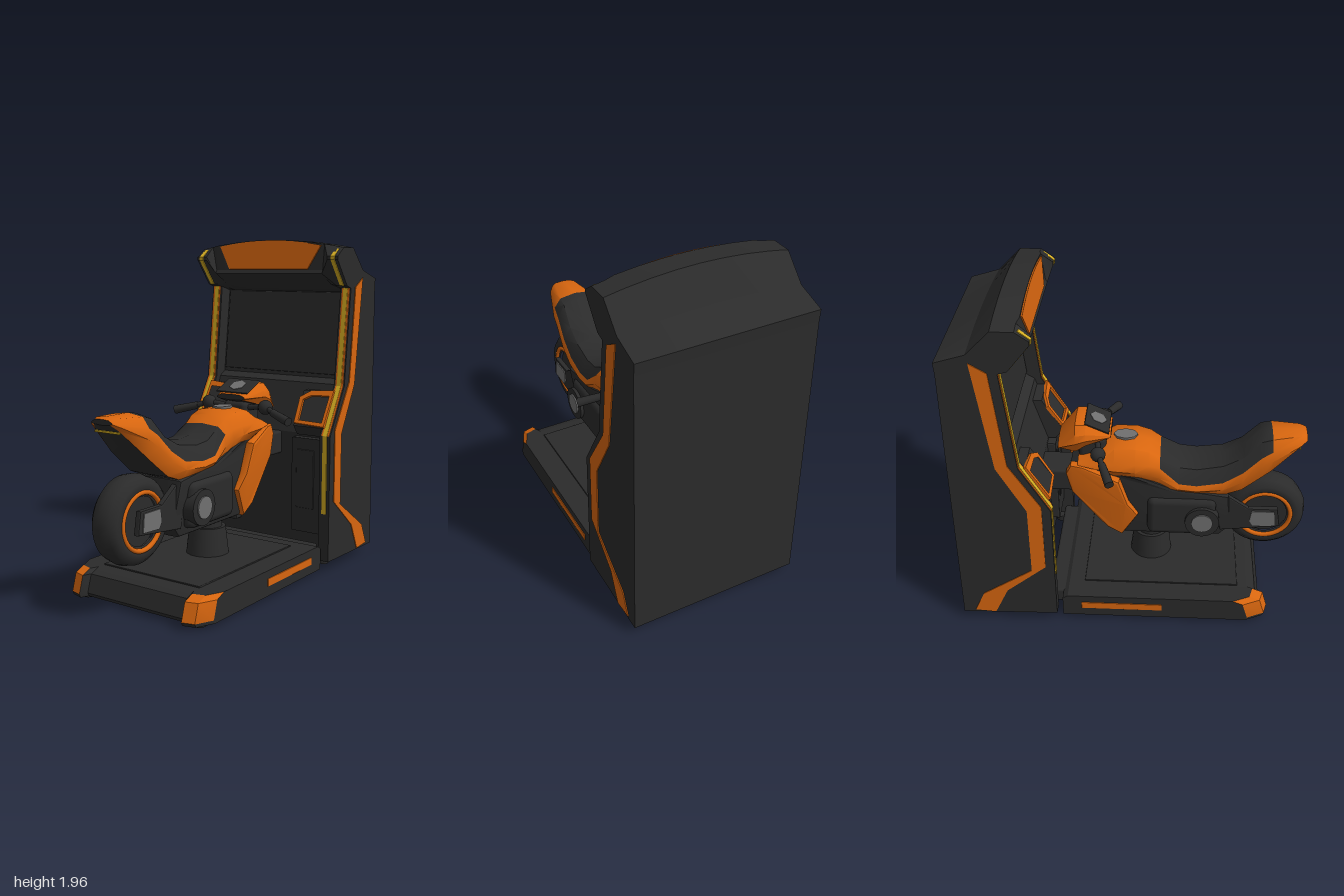
import * as THREE from 'three';
import { toCreasedNormals } from 'three/addons/utils/BufferGeometryUtils.js';
import { RoundedBoxGeometry } from 'three/addons/geometries/RoundedBoxGeometry.js';

const material = (name, color) => Object.assign(new THREE.MeshStandardMaterial({ color }), { name });

export function createModel() {
  const model = new THREE.Group();
  const black = material('black', 0x2b2b2b);
  const orange = material('orange', 0xd8660f);
  const yellow = material('yellow', 0xd6ae22);
  const grey = material('grey', 0x707070);

  const add = (name, geo, mat, x = 0, y = 0, z = 0, parent = model) => {
    const mesh = new THREE.Mesh(geo, mat);
    mesh.name = name;
    mesh.position.set(x, y, z);
    parent.add(mesh);
    return mesh;
  };
  const box = (w, h, d, r = 0.015) => new RoundedBoxGeometry(w, h, d, 2, r);

  // Side profile given as [z, y], extruded across x
  const extrudeX = (pts, x0, x1, bevel = 0) => {
    const shape = new THREE.Shape(pts.map(([z, y]) => new THREE.Vector2(-z, y)));
    return new THREE.ExtrudeGeometry(shape, {
      depth: x1 - x0 - 2 * bevel, bevelEnabled: bevel > 0, bevelSize: bevel, bevelOffset: -bevel,
      bevelThickness: bevel, bevelSegments: 2,
    }).rotateY(Math.PI / 2).translate(x0 + bevel, 0, 0);
  };
  const pairX = (name, pts, x0, x1, mat, bevel = 0, change = (g) => g) => {
    add('left' + name, change(extrudeX(pts, x0, x1, bevel)), mat);
    add('right' + name, change(extrudeX(pts, -x1, -x0, bevel)), mat);
  };

  // Closed loft through rings of points; slot(i, j) picks the material of each face
  const loft = (rings, slot = () => 0, crease = 0.6) => {
    const faces = [[], []];
    const n = rings[0].length;
    for (let i = 0; i < rings.length - 1; i++) for (let j = 0; j < n; j++) {
      const a = rings[i][j], b = rings[i][(j + 1) % n], c = rings[i + 1][(j + 1) % n], d = rings[i + 1][j];
      faces[slot(i, j)].push([a, b, c], [a, c, d]);
    }
    const cap = (ring, flip) => {
      const flat = THREE.ShapeUtils.triangulateShape(ring.map((p) =>
        Math.abs(ring[0][0] - ring[2][0]) < 1e-6 && ring.every((q) => q[0] === ring[0][0])
          ? new THREE.Vector2(p[2], p[1]) : new THREE.Vector2(p[0], p[1])), []);
      const area = THREE.ShapeUtils.area(ring.map((p) => ring.every((q) => q[0] === ring[0][0])
        ? new THREE.Vector2(p[2], p[1]) : new THREE.Vector2(p[0], p[1])));
      for (const [a, b, c] of flat) {
        const t = [ring[a], ring[b], ring[c]];
        // triangles follow the ring direction, the first cap is reversed
        const u = ring.every((q) => q[0] === ring[0][0]) ? 2 : 0;
        const s = (t[1][u] - t[0][u]) * (t[2][1] - t[0][1]) - (t[2][u] - t[0][u]) * (t[1][1] - t[0][1]);
        const same = s * area > 0;
        faces[0].push(same !== flip ? t : [t[0], t[2], t[1]]);
      }
    };
    cap(rings[0], true);
    cap(rings[rings.length - 1], false);
    const all = [...faces[0], ...faces[1]];
    const v = (p) => new THREE.Vector3(...p);
    const volume = all.reduce((s, [a, b, c]) => s + v(a).dot(v(b).cross(v(c))), 0);
    if (volume < 0) all.forEach((t) => t.reverse());
    const geo = new THREE.BufferGeometry();
    geo.setAttribute('position', new THREE.Float32BufferAttribute(all.flat(2), 3));
    geo.addGroup(0, faces[0].length * 3, 0);
    geo.addGroup(faces[0].length * 3, faces[1].length * 3, 1);
    return toCreasedNormals(geo, crease);
  };

  // Cabinet: side walls, recessed middle and arched hood
  const edge = [[-0.44, 0.06], [-0.44, 0.82], [-0.6, 1.1], [-0.66, 1.68]];
  pairX('CabinetSide', [...edge, [-0.97, 1.72], [-0.99, 0.05]], 0.43, 0.5, black);
  add('cabinetCore', extrudeX([[-0.55, 0.06], [-0.55, 0.8], [-0.64, 1.1], [-0.69, 1.13], [-0.75, 1.68],
    [-0.97, 1.72], [-0.99, 0.05]], -0.44, 0.44), black);
  add('screen', box(0.84, 0.5, 0.012, 0.004), black, 0, 1.4, -0.715).rotation.x = -0.11;
  const hoodRing = (x) => {
    const a = 0.05 * (1 - (x / 0.5) ** 2), y = 1.91 + a, end = Math.abs(x) > 0.4;
    const front = end ? [[-0.56, y], [-0.49, 1.86], [-0.49, 1.84], [-0.61, 1.69]]
      : [[-0.53 - 0.12 * (y - 1.78), y], [-0.53, 1.78], [-0.52, 1.76], [-0.63, 1.7]];
    return [[-0.97, 1.65], [-0.975, 1.73], [-0.81, 1.78 + a * 0.6], [-0.68, y], ...front, [-0.75, 1.65]]
      .map(([z, h]) => [x, h, z]);
  };
  add('hood', loft([-0.5, -0.43, -0.38, -0.25, -0.12, 0, 0.12, 0.25, 0.38, 0.43, 0.5].map(hoodRing),
    undefined, 0.3), black);
  const marquee = new THREE.Shape();
  marquee.moveTo(-0.28, 0.005).lineTo(0.28, 0.005).lineTo(0.36, 0.145)
    .quadraticCurveTo(0, 0.21, -0.36, 0.145);
  add('marqueePanel', new THREE.ExtrudeGeometry(marquee, { depth: 0.008, bevelEnabled: false }),
    orange, 0, 1.78, -0.53).rotation.x = -0.12;

  // Stripes on the cabinet sides and front edges
  pairX('SideStripe', [[-0.8, 1.735], [-0.71, 1.68], [-0.655, 1.12], [-0.49, 0.85], [-0.49, 0.42], [-0.72, 0.23],
    [-0.8, 0.06], [-0.92, 0.07], [-0.86, 0.2], [-0.57, 0.39], [-0.57, 0.82], [-0.72, 1.1]], 0.499, 0.505, orange);
  const ribbon = (path, t) => [...path.map(([z, y]) => [z + t, y]),
    ...path.slice().reverse().map(([z, y]) => [z - 0.003, y])];
  const lightPath = [[-0.44, 0.35], ...edge.slice(1)];
  pairX('EdgeTrim', ribbon(lightPath.slice(1), 0.003), 0.442, 0.492, orange);
  pairX('EdgeLight', ribbon(lightPath, 0.006), 0.452, 0.48, yellow);
  pairX('HoodLight', ribbon([[-0.61, 1.69], [-0.49, 1.84], [-0.49, 1.86], [-0.55, 1.905]], 0.006), 0.455, 0.48, yellow);

  // Console wings and lower panels inside the cabinet
  pairX('ConsoleWing', [[-0.5, 0.8], [-0.455, 0.86], [-0.575, 1.06], [-0.72, 1.06], [-0.72, 0.78]], 0.24, 0.445, black);
  pairX('LowerPanel', [[-0.5, 0.2], [-0.5, 0.78], [-0.6, 0.78], [-0.6, 0.2]], 0.2, 0.44, black, 0.01);
  for (const s of [1, -1]) {
    const side = s > 0 ? 'left' : 'right';
    const poly = (pts) => pts.map(([x, y]) => new THREE.Vector2(x * s, y));
    const frame = new THREE.Shape(poly([[0.245, 0.01], [0.45, 0], [0.45, 0.24], [0.3, 0.225], [0.235, 0.18]]));
    frame.holes.push(new THREE.Path(poly([[0.27, 0.03], [0.43, 0.025], [0.43, 0.2], [0.31, 0.195], [0.262, 0.165]])));
    add(side + 'ConsoleFrame', new THREE.ExtrudeGeometry(frame, { depth: 0.02, bevelEnabled: false }),
      orange, 0, 0.86, -0.46).rotation.x = -0.54;
    add(side + 'PanelDoor', box(0.12, 0.36, 0.012, 0.004), black, s * 0.3, 0.53, -0.498);
    for (const z of [-0.52, -0.93]) add(side + 'CabinetFoot', new THREE.CylinderGeometry(0.04, 0.035, 0.04, 12), black, s * 0.42, 0.045, z);
    for (const z of [-0.32, 0.68]) add(side + 'BaseFoot', new THREE.CylinderGeometry(0.05, 0.04, 0.03, 12), black, s * 0.38, 0.015, z);
    add(side + 'BaseStripe', box(0.008, 0.045, 0.47, 0.003), orange, s * 0.465, 0.097, -0.065);
  }

  // Base platform with orange front corners
  const baseX = [[0.465, 0.67], [0.42, 0.77], [0.35, 0.79], [0.33, 0.745]];
  const baseRing = ([x, f]) => [[-0.41, 0.02], [-0.41, 0.145], [-0.38, 0.165], [f - 0.09, 0.165], [f - 0.03, 0.14],
    [f, 0.04], [f - 0.01, 0.02]].map(([z, y]) => [x, y, z]);
  add('base', loft([...baseX.map(([x, f]) => [-x, f]), ...baseX.slice().reverse()].map(baseRing),
    (i, j) => ([0, 1, 5, 6].includes(i) && (j === 3 || j === 4) ? 1 : 0), 0.4), [black, orange]);
  add('baseLink', box(0.8, 0.09, 0.12), black, 0, 0.105, -0.43);
  add('floorPlate', box(0.66, 0.012, 0.9, 0.004), black, 0, 0.167, 0.16);

  // Pedestal and link to the cabinet
  add('pedestal', new THREE.CylinderGeometry(0.105, 0.125, 0.17, 24), black, 0, 0.245, 0.09);
  add('pedestalCollar', new THREE.CylinderGeometry(0.085, 0.085, 0.08, 24), black, 0, 0.36, 0.09);
  add('noseLink', box(0.2, 0.14, 0.24), black, 0, 0.73, -0.45);

  // Bike body: tail, seat and tank as one loft [z, half width, bottom, edge, top]
  const halfRing = ([z, w, yb, ye, yt]) => {
    const h = [[0, yb], [0.78 * w, yb + 0.004], [w, yb + 0.6 * (ye - yb)], [0.94 * w, ye], [0.66 * w, yt - 0.2 * (yt - ye)], [0, yt]];
    return [...h, ...h.slice(1, 5).reverse().map(([x, y]) => [-x, y])].map(([x, y]) => [x, y, z]);
  };
  const body = [
    [0.965, 0.07, 1.03, 1.045, 1.06], [0.93, 0.1, 1.0, 1.035, 1.07], [0.77, 0.15, 0.85, 1.0, 1.07], [0.71, 0.155, 0.8, 0.96, 1.06],
    [0.61, 0.165, 0.72, 0.86, 0.95], [0.5, 0.17, 0.68, 0.79, 0.895], [0.35, 0.18, 0.69, 0.77, 0.87], [0.25, 0.18, 0.7, 0.78, 0.88],
    [0.14, 0.17, 0.72, 0.88, 0.93], [0.08, 0.18, 0.76, 0.9, 0.975], [0, 0.19, 0.79, 0.91, 1.0], [-0.12, 0.19, 0.81, 0.91, 1.0],
    [-0.22, 0.175, 0.84, 0.89, 0.94], [-0.33, 0.14, 0.86, 0.88, 0.9]];
  add('bikeBody', loft(body.map(halfRing), (i, j) => {
    if (j === 0 || j === 9) return 0;
    return j > 2 && j < 7 && i > 1 && i < 8 ? 0 : 1;
  }, 0.8), [black, orange]);
  add('tailLight', box(0.17, 0.012, 0.008, 0.003), yellow, 0, 0.99, 0.926);
  add('tankCap', new THREE.CylinderGeometry(0.05, 0.05, 0.015, 8).scale(1, 1, 1.4), grey, 0, 1.0, -0.06);

  // Engine, frame and side fairings, narrowing downward and toward the nose
  const taper = (geo) => {
    const p = geo.attributes.position;
    for (let i = 0; i < p.count; i++) {
      const k = 0.7 + 0.3 * THREE.MathUtils.smoothstep(p.getY(i), 0.37, 0.75);
      const nose = 1 - 0.3 * THREE.MathUtils.smoothstep(-p.getZ(i), 0.15, 0.4);
      p.setX(i, p.getX(i) * k * nose);
    }
    return toCreasedNormals(geo, 0.6);
  };
  add('engineFrame', taper(extrudeX([[0.54, 0.69], [0.56, 0.44], [0.5, 0.37], [-0.07, 0.37], [-0.17, 0.43], [-0.36, 0.71],
    [-0.38, 0.82], [-0.3, 0.87], [0, 0.83], [0.22, 0.74]], -0.165, 0.165, 0.02)), black);
  pairX('Fairing', [[-0.09, 0.8], [-0.3, 0.87], [-0.37, 0.87], [-0.4, 0.81], [-0.37, 0.68], [-0.17, 0.43], [-0.08, 0.37],
    [0.015, 0.54], [-0.04, 0.63]], 0.12, 0.2, orange, 0.015, taper);
  add('engineBlock', box(0.36, 0.26, 0.4, 0.04), black, 0, 0.54, 0.27);
  const acrossX = (r, length, n = 24) => new THREE.CylinderGeometry(r, r, length, n).rotateZ(Math.PI / 2);
  add('crankCase', acrossX(0.1, 0.4), black, 0, 0.525, 0.39);
  add('crankCover', acrossX(0.062, 0.416), grey, 0, 0.525, 0.39);

  // Rear wheel and swing arm
  const tyre = [[0.13, -0.07], [0.165, -0.085], [0.2, -0.085], [0.23, -0.055], [0.242, 0], [0.23, 0.055], [0.2, 0.085],
    [0.165, 0.085], [0.13, 0.07]].map(([r, h]) => new THREE.Vector2(r, h));
  add('tyre', new THREE.LatheGeometry(tyre, 40).rotateZ(Math.PI / 2), black, 0, 0.51, 0.76);
  add('wheelDisc', acrossX(0.14, 0.1, 32), black, 0, 0.51, 0.76);
  for (const s of [1, -1]) {
    const side = s > 0 ? 'left' : 'right';
    add(side + 'WheelRing', new THREE.TorusGeometry(0.153, 0.014, 8, 40).rotateY(Math.PI / 2), orange, s * 0.08, 0.51, 0.76);
  }
  const arm = [[0.83, 0.585], [0.85, 0.46], [0.5, 0.42], [0.45, 0.67], [0.54, 0.67], [0.66, 0.585]];
  pairX('SwingArm', arm, 0.095, 0.13, black, 0.008);
  pairX('AxlePlate', [[0.81, 0.57], [0.82, 0.47], [0.69, 0.465], [0.67, 0.5], [0.68, 0.57]], 0.128, 0.136, grey);

  // Front cowl with dash display
  add('headCowl', loft([[-0.14, 0.1, 1.03, 1.05, 1.065], [-0.28, 0.15, 0.99, 1.08, 1.13], [-0.34, 0.15, 0.95, 1.07, 1.13],
    [-0.44, 0.11, 0.95, 0.98, 1.01]].map(halfRing), (i, j) => (j === 0 || j === 9 ? 0 : 1)), [black, orange]);
  const dash = new THREE.Group();
  dash.name = 'dash';
  dash.position.set(0, 1.104, -0.217);
  dash.rotation.x = 0.43;
  model.add(dash);
  add('dashPlate', box(0.22, 0.009, 0.15, 0.004), black, 0, 0, 0, dash);
  add('dashDisplay', new THREE.CylinderGeometry(0.05, 0.05, 0.008, 6), grey, 0, 0.004, 0, dash);
  add('steeringNeck', box(0.16, 0.18, 0.16, 0.03), black, 0, 0.93, -0.25);

  // Handlebars
  for (const s of [1, -1]) {
    const side = s > 0 ? 'left' : 'right';
    const tube = (pts, r) => new THREE.TubeGeometry(new THREE.CatmullRomCurve3(
      pts.map(([x, y, z]) => new THREE.Vector3(s * x, y, z))), 12, r, 10);
    add(side + 'Bar', tube([[0.05, 0.98, -0.22], [0.2, 0.995, -0.2], [0.28, 0.97, -0.175], [0.4, 0.94, -0.13]], 0.016), black);
    const grip = add(side + 'Grip', new THREE.CylinderGeometry(0.026, 0.022, 0.15, 12), black, s * 0.335, 0.956, -0.153);
    grip.quaternion.setFromUnitVectors(new THREE.Vector3(0, 1, 0), new THREE.Vector3(s * 0.12, -0.03, 0.045).normalize());
    add(side + 'SwitchPod', new THREE.SphereGeometry(0.043, 14, 10), black, s * 0.2, 0.995, -0.205);
  }
  return model;
}
